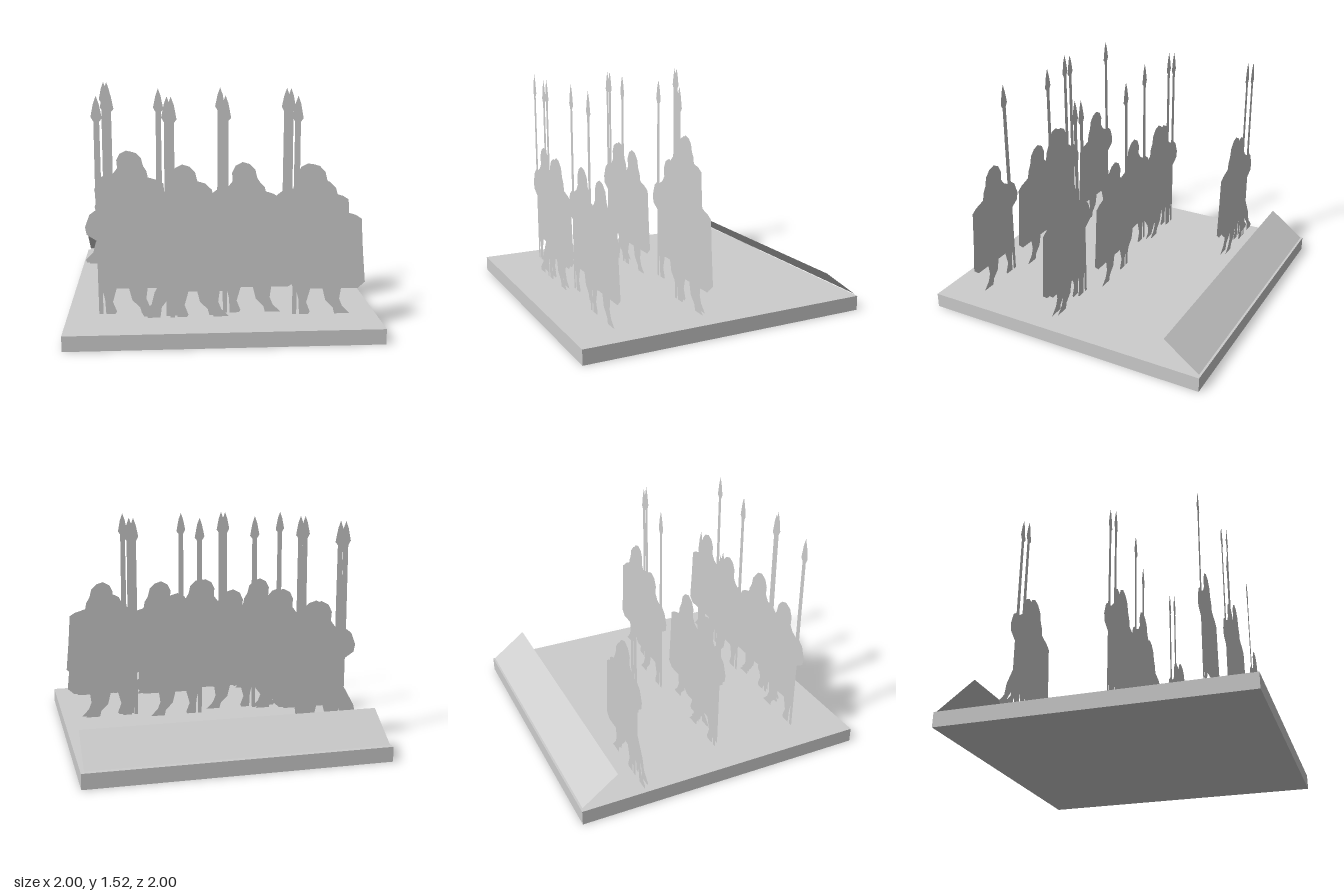
import * as THREE from 'three';

const shapeOf = (pts) => new THREE.Shape(pts.map(([x, y]) => new THREE.Vector2(x, y)));

// Soldier cut-out; the origin is at the butt of the spear
const BODY = [
  [-0.015, 0], [-0.018, 0.49], [-0.08, 0.53], [-0.09, 0.58], [-0.06, 0.66], [-0.02, 0.69],
  // spear
  [-0.018, 1.25], [-0.035, 1.28], [-0.018, 1.36], [0, 1.41], [0.018, 1.36], [0.035, 1.27], [0.018, 1.25], [0.02, 0.69],
  // helmet and neck guard
  [0.06, 0.71], [0.09, 0.75], [0.085, 0.81], [0.11, 0.86], [0.16, 0.885], [0.21, 0.87],
  [0.25, 0.83], [0.265, 0.77], [0.29, 0.73], [0.3, 0.68],
  // shoulder and cloak
  [0.38, 0.655], [0.42, 0.63], [0.435, 0.42], [0.455, 0.21], [0.41, 0.17], [0.3, 0.17],
  // legs
  [0.29, 0.1], [0.31, 0.05], [0.36, 0], [0.26, 0], [0.25, 0.04], [0.2, 0.09], [0.18, 0.17],
  [0.1, 0.17], [0.075, 0.08], [0.1, 0.015], [0.09, 0], [0.03, 0], [0.025, 0.1], [0.012, 0.15], [0.012, 0],
];
const REAR_LEG = [
  [-0.01, 0.3], [-0.09, 0.16], [-0.11, 0.08], [-0.17, 0.02], [-0.16, 0], [-0.08, 0], [-0.07, 0.07], [0, 0.16],
];

export function createModel() {
  const model = new THREE.Group();
  const grey = new THREE.MeshStandardMaterial({ color: 0xcccccc, side: THREE.DoubleSide });
  const add = (name, geometry, parent = model) => {
    const mesh = new THREE.Mesh(geometry, grey);
    mesh.name = name;
    parent.add(mesh);
    return mesh;
  };

  // Base slab
  add('base', new THREE.BoxGeometry(2, 0.1, 2)).position.y = 0.05;

  // Sloping panel along the back edge
  const rise = 0.18, depth = 0.24;
  const panel = add('backPanel', new THREE.PlaneGeometry(1.96, Math.hypot(rise, depth)));
  panel.position.set(0, 0.2, -0.87);
  panel.rotation.x = Math.atan2(depth, rise);

  const standing = new THREE.ShapeGeometry(shapeOf(BODY));
  const striding = new THREE.ShapeGeometry([shapeOf(BODY), shapeOf(REAR_LEG)]);

  // Standing soldiers: spear x, z, striding, doubled
  const ranks = [
    [-0.78, 0.64, false, false], [-0.345, 0.7, true, true], [0.02, 0.66, false, false], [0.465, 0.72, false, false],
    [-0.765, 0.04, false, true], [-0.4, 0.1, true, false], [0.03, 0.02, false, false], [0.485, 0.1, false, true],
    [-0.815, -0.57, true, true],
  ];
  for (const [x, z, stride, doubled] of ranks) {
    const soldier = new THREE.Group();
    soldier.name = 'soldier';
    soldier.position.set(x, 0.11, z);
    const geometry = stride ? striding : standing;
    add('soldierPlate', geometry, soldier);
    if (doubled) add('soldierSecondPlate', geometry, soldier).position.set(0.025, 0, 0.03);
    model.add(soldier);
  }

  // Fallen soldiers lying on the base: butt x, z and tip x, z of the spear
  const fallen = [[0.55, -0.5, -0.72, 0.16], [0.2, -0.7, -0.5, 0.52], [0.5, 0.51, -0.27, -0.66]];
  fallen.forEach(([bx, bz, tx, tz], i) => {
    const up = new THREE.Vector3(tx - bx, 0, tz - bz).normalize();
    const side = new THREE.Vector3(up.z, 0, -up.x);
    const mesh = add('fallenSoldier', standing);
    mesh.quaternion.setFromRotationMatrix(
      new THREE.Matrix4().makeBasis(side, up, new THREE.Vector3().crossVectors(side, up)));
    mesh.position.set(bx, 0.106 + i * 0.003, bz);
  });

  return model;
}
